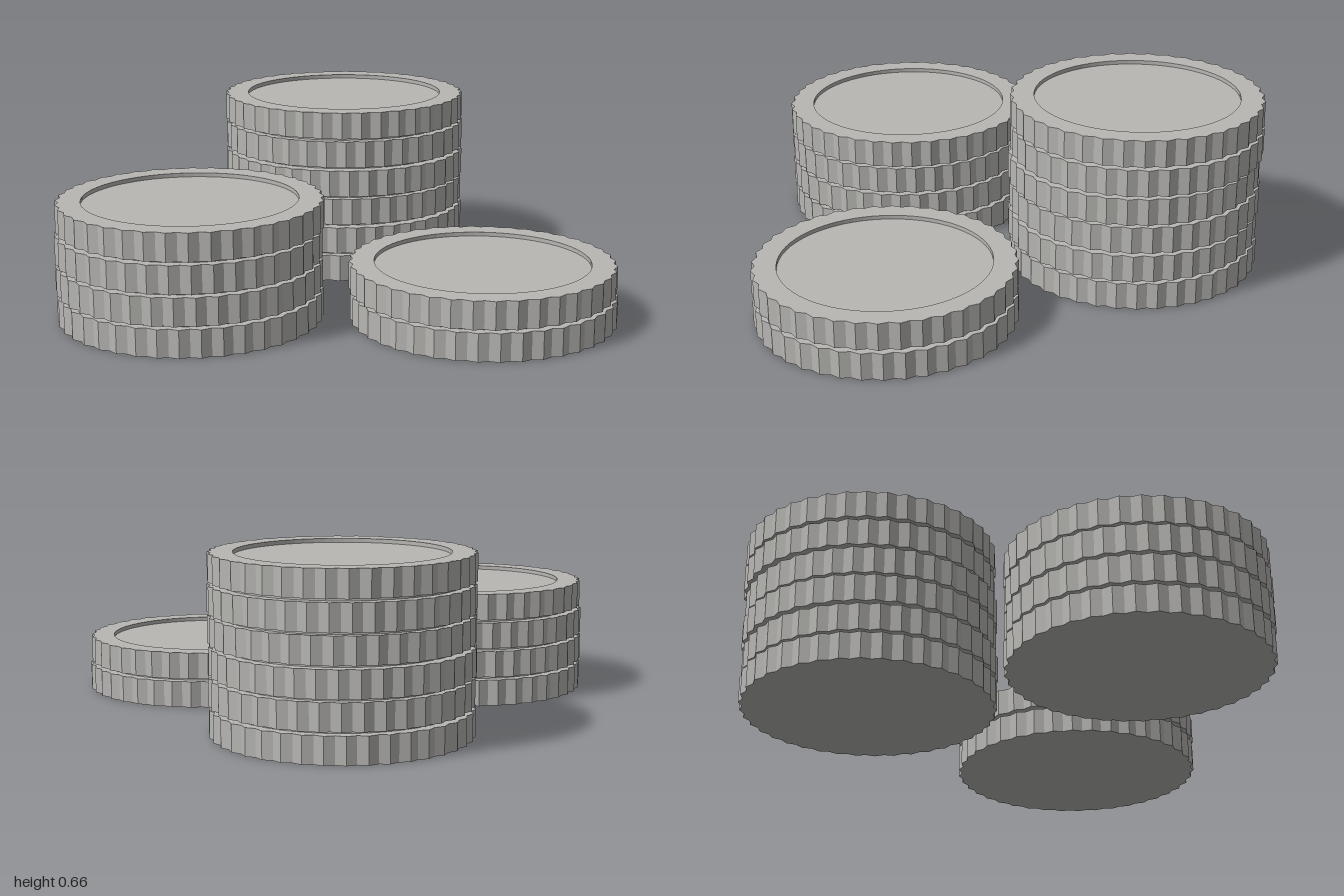
import * as THREE from 'three';

const TEETH = 40, TIP = 0.475, VALLEY = 0.462, RECESS = 0.385;
const HEIGHT = 0.1, PITCH = 0.111, FLOOR = 0.085;

// Ridged ring with a round hole, standing on y = 0
function rimGeometry() {
  const outline = [];
  for (let i = 0; i < TEETH * 2; i++) {
    const a = (i / (TEETH * 2)) * Math.PI * 2;
    const r = i % 2 ? VALLEY : TIP;
    outline.push(new THREE.Vector2(Math.cos(a) * r, Math.sin(a) * r));
  }
  const shape = new THREE.Shape(outline);
  shape.holes.push(new THREE.Path().absarc(0, 0, RECESS, 0, Math.PI * 2, true));
  const geometry = new THREE.ExtrudeGeometry(shape, { depth: HEIGHT, bevelEnabled: false, curveSegments: 32 });
  return geometry.rotateX(-Math.PI / 2);
}

export function createModel() {
  const model = new THREE.Group();
  model.name = 'coinStacks';
  const metal = new THREE.MeshStandardMaterial({ color: 0xb8b7b4 });
  metal.name = 'silver grey';

  const rim = rimGeometry();
  const core = new THREE.CylinderGeometry(RECESS, RECESS, FLOOR, 64).translate(0, FLOOR / 2, 0);
  const gap = PITCH - HEIGHT;
  const neck = new THREE.CylinderGeometry(0.435, 0.435, gap, 64).translate(0, -gap / 2, 0);

  const add = (parent, geometry, name) => {
    const mesh = new THREE.Mesh(geometry, metal);
    mesh.name = name;
    parent.add(mesh);
  };

  // Each stack lists its coin centres [x, z] from the bottom up
  const stacks = {
    backStack: [[-0.002, -0.45], [0, -0.446], [-0.003, -0.452], [0, -0.447], [0, -0.457], [-0.002, -0.455]],
    rightStack: [[-0.521, 0.447], [-0.523, 0.45], [-0.523, 0.45], [-0.517, 0.449]],
    leftStack: [[0.524, 0.448], [0.519, 0.449]],
  };
  Object.entries(stacks).forEach(([name, coins], s) => {
    const stack = new THREE.Group();
    stack.name = name;
    coins.forEach(([x, z], i) => {
      const coin = new THREE.Group();
      coin.name = 'coin' + (i + 1);
      coin.position.set(x, i * PITCH, z);
      coin.rotation.y = i * 0.6 + s * 0.35; // uneven turn of each coin
      add(coin, rim, 'ridgedRim');
      add(coin, core, 'recessedFace');
      if (i > 0) add(coin, neck, 'spacer');
      stack.add(coin);
    });
    model.add(stack);
  });
  return model;
}
